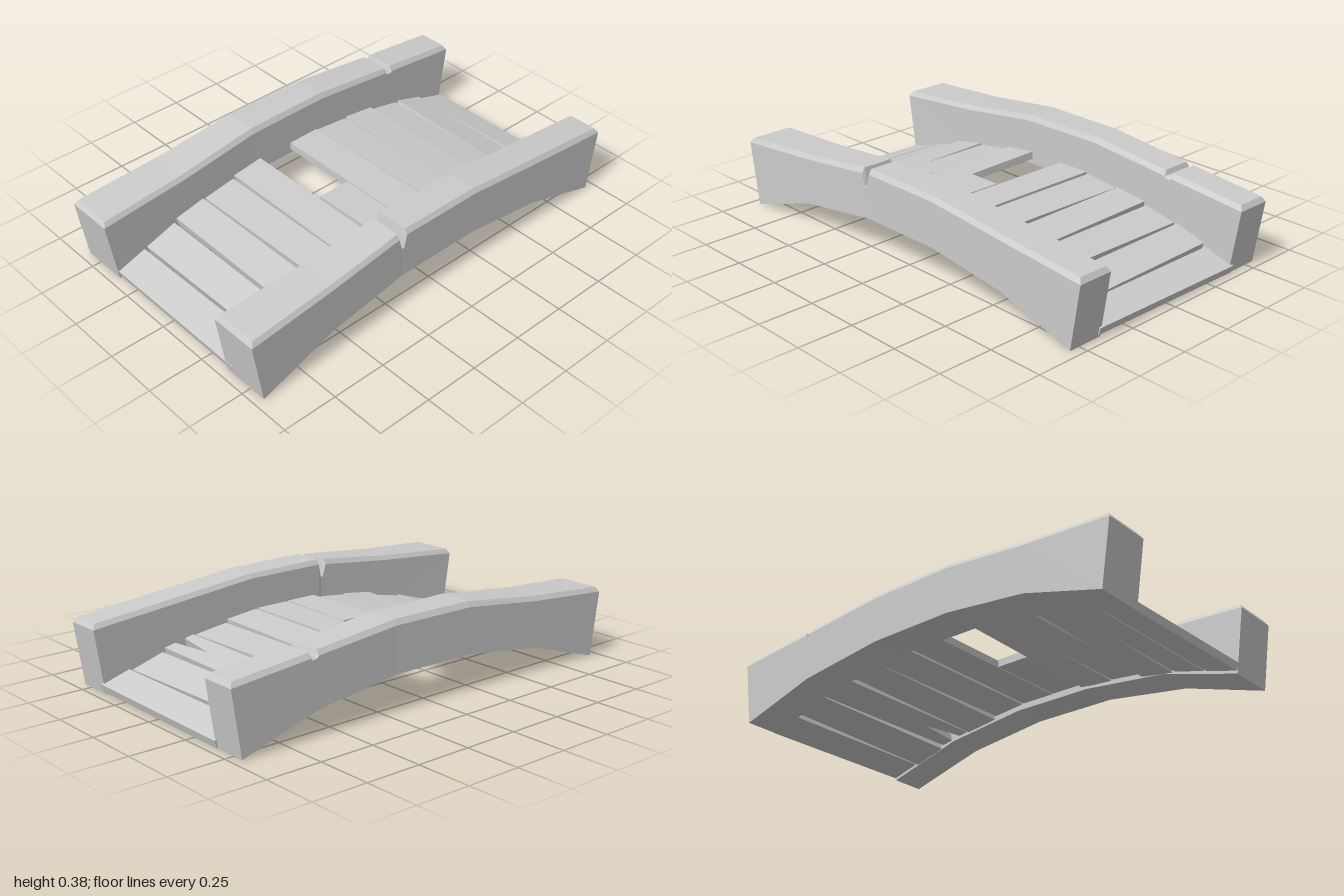
import * as THREE from 'three';

const material = new THREE.MeshStandardMaterial({ color: 0xcccccc, flatShading: true });

// Piecewise-linear underside of the arch: [z, y]
const ARCH = [[-0.957, 0], [-0.59, 0.11], [-0.2, 0.16], [0.2, 0.16], [0.59, 0.11], [0.957, 0]];
function archY(z) {
  let i = 0;
  while (i < ARCH.length - 2 && z > ARCH[i + 1][0]) i++;
  const [z0, y0] = ARCH[i], [z1, y1] = ARCH[i + 1];
  return y0 + (y1 - y0) * (z - z0) / (z1 - z0);
}

// Beam lofted through stations running front to back.
// Station: z, shoulder height, top height, inner x, outer x
function makeBeam(name, stations, side) {
  const bevel = 0.014;
  const rings = stations.map(([z, shoulder, top, xi, xo]) => {
    const end = Math.abs(z) > 0.99;
    const zb = end ? z * 0.957 : z, zt = end ? z * 0.986 : z;
    const yb = archY(zb);
    return [
      [xi, yb, zb], [xo, yb, zb], [xo, shoulder, z],
      [xo - bevel, top, zt], [xi + bevel, top, zt], [xi, shoulder, z],
    ].map(([x, y, zz]) => [x * side, y, zz]);
  });
  const pos = [];
  const tri = (a, b, c) => pos.push(...a, ...(side > 0 ? [...b, ...c] : [...c, ...b]));
  const quad = (a, b, c, d) => { tri(a, b, c); tri(a, c, d); };
  for (let i = 0; i < rings.length - 1; i++) {
    const f = rings[i], r = rings[i + 1];
    for (let j = 0; j < 6; j++) {
      const k = (j + 1) % 6;
      quad(f[j], r[j], r[k], f[k]);
    }
  }
  // End faces with their sloping top bevel
  const f = rings[0], r = rings[rings.length - 1];
  quad(f[0], f[1], f[2], f[5]);
  quad(f[5], f[2], f[3], f[4]);
  quad(r[0], r[5], r[2], r[1]);
  quad(r[5], r[4], r[3], r[2]);
  const geo = new THREE.BufferGeometry();
  geo.setAttribute('position', new THREE.Float32BufferAttribute(pos, 3));
  geo.computeVertexNormals();
  const mesh = new THREE.Mesh(geo, material);
  mesh.name = name;
  return mesh;
}

// Plank cut from an outline in x and z, laid on the arch between z0 and z1
function makePlank(name, outline, z0, z1, roll) {
  const mid = (z0 + z1) / 2, thick = 0.034;
  const shape = new THREE.Shape(outline.map(([x, z]) => new THREE.Vector2(x, mid - z)));
  const geo = new THREE.ExtrudeGeometry(shape, { depth: thick, bevelEnabled: false });
  geo.rotateX(-Math.PI / 2);
  const y0 = archY(z0), y1 = archY(z1);
  const mesh = new THREE.Mesh(geo, material);
  const crown = 0.018 * Math.max(0, 1 - Math.abs(mid) / 0.7);
  mesh.position.set(0, (y0 + y1) / 2 + 0.008 + crown, mid);
  mesh.rotation.set(-Math.atan2(y1 - y0, z1 - z0), 0, roll);
  mesh.name = name;
  return mesh;
}

export function createModel() {
  const model = new THREE.Group();
  model.name = 'woodenArchBridge';

  // Side beam with a deep notch near the crown
  model.add(makeBeam('notchedBeam', [
    [1, 0.288, 0.31, 0.357, 0.578],
    [0.59, 0.318, 0.338, 0.373, 0.564],
    [0.228, 0.355, 0.377, 0.388, 0.551],
    [0.212, 0.3, 0.306, 0.388, 0.55],
    [0.2, 0.3, 0.306, 0.388, 0.55],
    [0.186, 0.36, 0.382, 0.386, 0.55],
    [-0.2, 0.36, 0.38, 0.386, 0.55],
    [-0.59, 0.322, 0.343, 0.386, 0.55],
    [-1, 0.283, 0.305, 0.386, 0.548],
  ], 1));

  // Side beam with a shallow groove near the back
  model.add(makeBeam('groovedBeam', [
    [1, 0.288, 0.31, 0.36, 0.58],
    [0.59, 0.318, 0.338, 0.37, 0.57],
    [0.2, 0.362, 0.385, 0.383, 0.56],
    [-0.2, 0.362, 0.385, 0.388, 0.553],
    [-0.595, 0.322, 0.343, 0.39, 0.552],
    [-0.603, 0.312, 0.322, 0.39, 0.552],
    [-0.626, 0.31, 0.32, 0.39, 0.552],
    [-0.634, 0.318, 0.339, 0.39, 0.552],
    [-1, 0.283, 0.305, 0.39, 0.55],
  ], -1));

  // Deck planks with slight uneven tilts
  const deck = new THREE.Group();
  deck.name = 'deck';
  const edges = [-0.968, -0.82, -0.66, -0.5, -0.335, -0.168, 0, 0.16, 0.323, 0.485, 0.645, 0.805, 0.96];
  const rolls = [0.012, -0.014, 0.012, -0.012, 0.016, 0.01, 0.014, -0.01, 0.015, -0.014, 0.012, 0.014];
  const X = 0.4;
  for (let i = 0; i < 12; i++) {
    const z0 = edges[i] + 0.003, z1 = edges[i + 1] - 0.004;
    const left = i === 6 ? 0 : -X; // one plank is broken off halfway
    const skew = (i % 2 ? 1 : -1) * 0.002;
    const outline = [[left, z0 + skew], [X, z0 - skew]];
    // one plank is split from its end
    if (i === 2) outline.push([X, -0.602], [0.18, -0.578], [X, -0.548]);
    outline.push([X, z1 + skew], [left, z1 - skew]);
    const name = i === 6 ? 'brokenPlank' : i === 2 ? 'splitPlank' : 'plank';
    deck.add(makePlank(name, outline, z0, z1, rolls[i]));
  }
  model.add(deck);
  return model;
}
